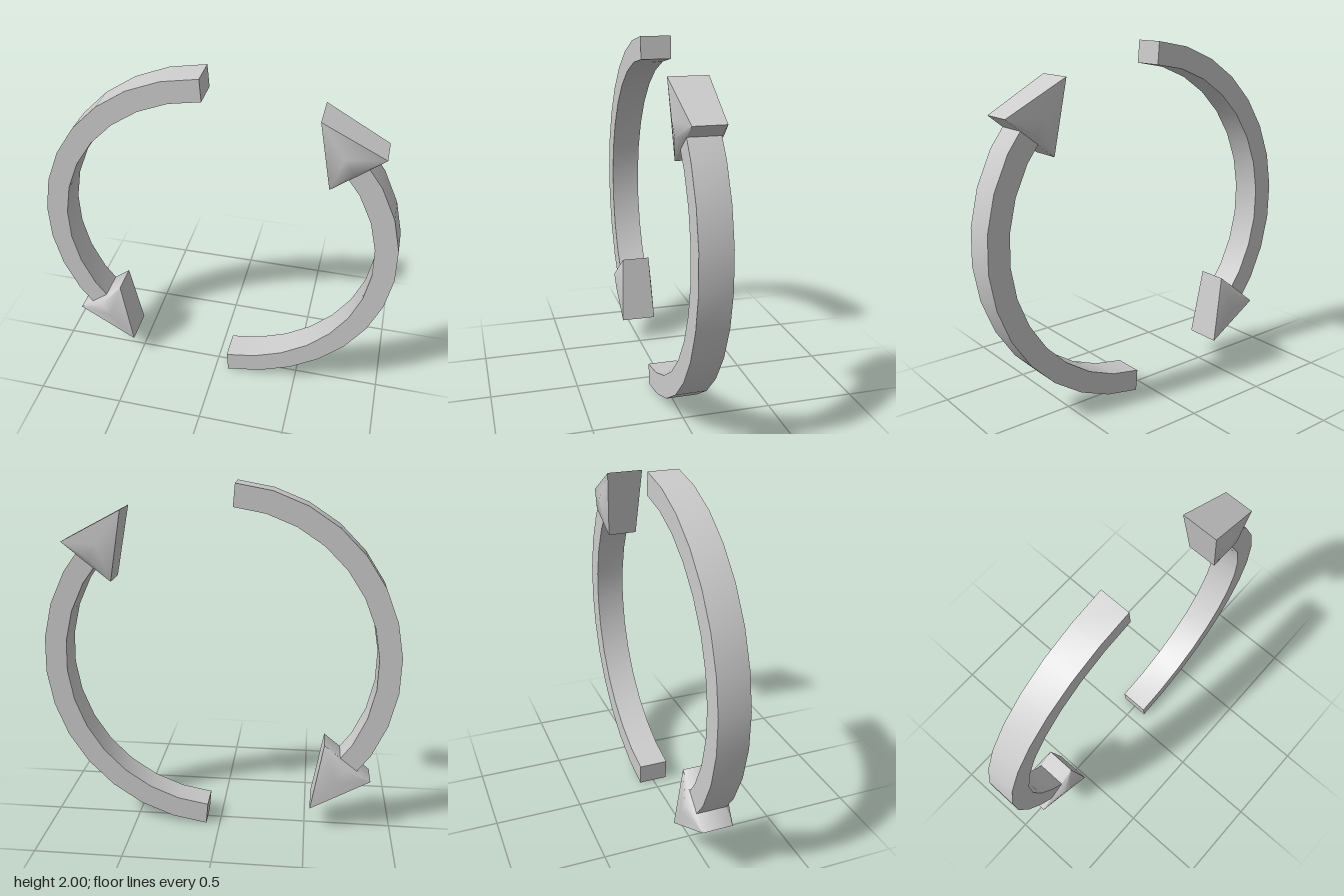
import * as THREE from 'three';
import { toCreasedNormals } from 'three/addons/utils/BufferGeometryUtils.js';

const material = new THREE.MeshStandardMaterial({ color: 0xcccccc });
const HALF = 0.085; // half thickness of the shaft

// Faceted ring segment with a square section
function shaftGeometry() {
  const steps = 11, start = 94.6, step = 11.6;
  const ring = (r) => Array.from({ length: steps + 1 }, (_, i) => {
    const a = THREE.MathUtils.degToRad(start + step * i);
    return new THREE.Vector2(r * Math.cos(a), r * Math.sin(a));
  });
  const shape = new THREE.Shape([...ring(1.003), ...ring(0.879).reverse()]);
  const geometry = new THREE.ExtrudeGeometry(shape, { depth: 2 * HALF, bevelEnabled: false });
  geometry.translate(0, 0, -HALF);
  return toCreasedNormals(geometry, 0.6);
}

// Triangular head whose front and back swell to a short ridge
function headGeometry() {
  const outer = [-0.87, -0.675, HALF], inner = [-0.6, -0.46, HALF], tip = [-0.53, -0.855, 0.105];
  const neckOut = [-0.79, -0.611, HALF], neckIn = [-0.69, -0.532, HALF];
  const ridgeBase = [-0.718, -0.595, 0.12], ridgeEnd = [-0.665, -0.67, 0.12];
  const positions = [];
  const tri = (...corners) => corners.forEach((c) => positions.push(...c));
  const back = ([x, y, z]) => [x, y, -z];

  // Swollen face, mirrored front to back
  const face = [
    [outer, tip, ridgeEnd], [outer, ridgeEnd, ridgeBase], [outer, ridgeBase, neckOut],
    [neckOut, ridgeBase, neckIn], [neckIn, ridgeBase, inner],
    [inner, ridgeBase, ridgeEnd], [inner, ridgeEnd, tip],
  ];
  for (const [a, b, c] of face) {
    tri(a, b, c);
    tri(back(a), back(c), back(b));
  }
  // Side walls
  const rim = [outer, tip, inner];
  rim.forEach((a, i) => {
    const b = rim[(i + 1) % 3];
    tri(a, back(a), back(b));
    tri(a, back(b), b);
  });

  const geometry = new THREE.BufferGeometry();
  geometry.setAttribute('position', new THREE.Float32BufferAttribute(positions, 3));
  return toCreasedNormals(geometry, 1.0);
}

export function createModel() {
  const model = new THREE.Group();
  model.name = 'circularArrows';
  const shaft = shaftGeometry(), head = headGeometry();

  // Two identical arrows, half a turn apart
  ['rightArrow', 'leftArrow'].forEach((name, i) => {
    const arrow = new THREE.Group();
    arrow.name = name;
    for (const [part, geometry] of [['arrowShaft', shaft], ['arrowHead', head]]) {
      const mesh = new THREE.Mesh(geometry, material);
      mesh.name = part;
      arrow.add(mesh);
    }
    arrow.position.y = 1;
    arrow.rotation.z = i * Math.PI;
    model.add(arrow);
  });
  return model;
}
